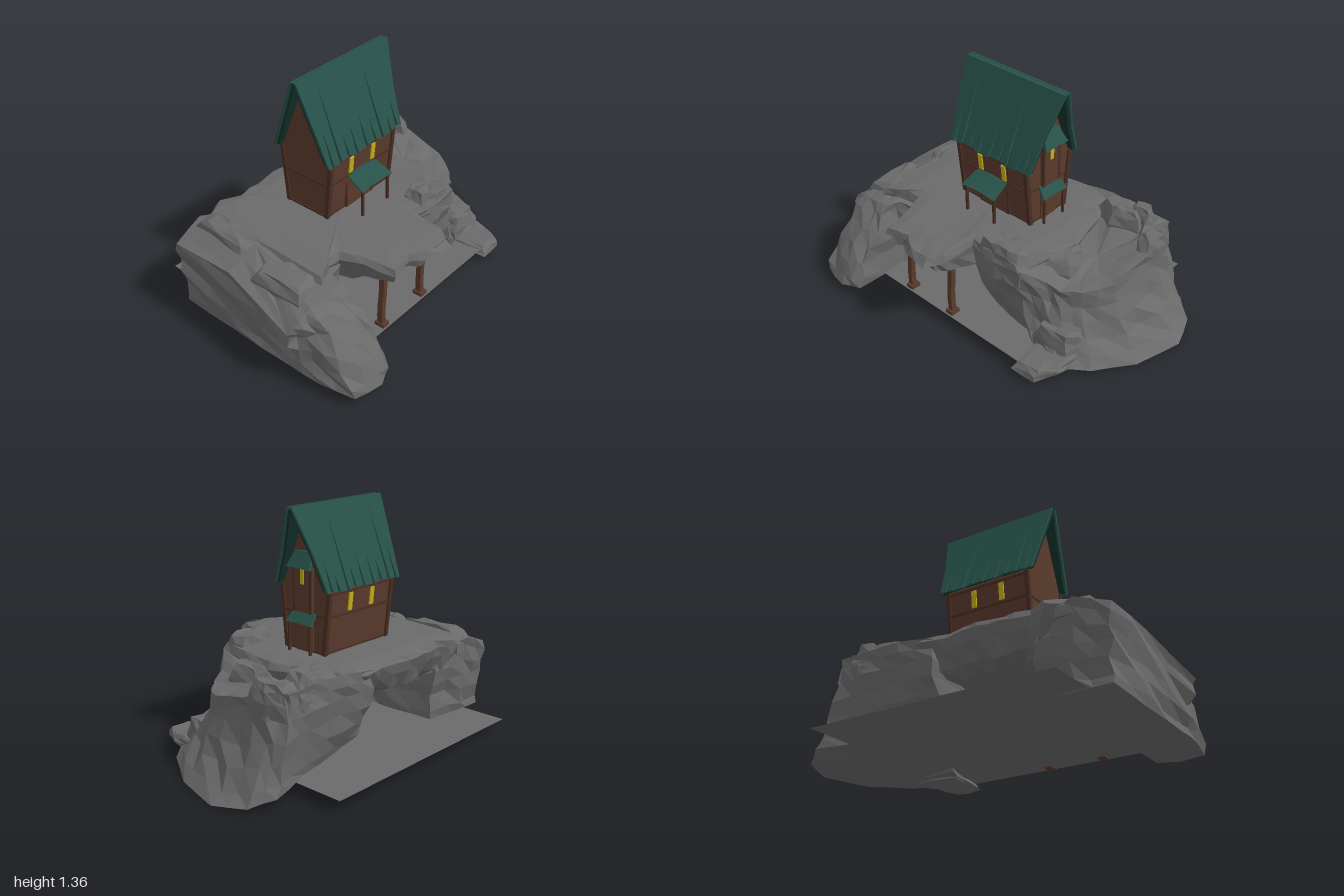
import * as THREE from 'three';

const mat = (color, extra = {}) => new THREE.MeshStandardMaterial({ color, flatShading: true, ...extra });
const rock = mat(0x6a6a6a), groundMat = mat(0x6a6a6a, { side: THREE.DoubleSide });
const wood = mat(0x5a3a2c), trim = mat(0x4a2e22), green = mat(0x275249), darkGreen = mat(0x16322c), glow = mat(0xc9b116);

let seed = 7;
const jitter = (a) => {
  seed = (seed * 16807) % 2147483647;
  return (seed / 2147483647 - 0.5) * 2 * a;
};

function add(parent, name, geometry, material, x = 0, y = 0, z = 0) {
  const mesh = new THREE.Mesh(geometry, material);
  mesh.name = name;
  mesh.position.set(x, y, z);
  parent.add(mesh);
  return mesh;
}
const box = (p, name, m, w, h, d, x, y, z) => add(p, name, new THREE.BoxGeometry(w, h, d), m, x, y, z);

// Skin closed rings (clockwise from above, bottom to top) and close both ends
function loft(rings, bottom, top) {
  const pos = [], n = rings[0].length;
  const tri = (...v) => v.forEach((p) => pos.push(...p));
  for (let i = 0; i < n; i++) {
    const k = (i + 1) % n, last = rings[rings.length - 1];
    for (let j = 0; j < rings.length - 1; j++) {
      const a = rings[j][i], b = rings[j][k], c = rings[j + 1][k], d = rings[j + 1][i];
      tri(a, d, c);
      tri(a, c, b);
    }
    tri(bottom, rings[0][i], rings[0][k]);
    tri(top, last[k], last[i]);
  }
  const g = new THREE.BufferGeometry();
  g.setAttribute('position', new THREE.Float32BufferAttribute(pos, 3));
  g.computeVertexNormals();
  return g;
}
const mix = (a, b, t) => a.map((v, i) => v + (b[i] - v) * t);
const subdivide = (cols) => cols.flatMap((c, i) => [c, mix(c, cols[(i + 1) % cols.length], 0.5)]);

// Cliff from columns of [foot x, z, y, rim x, z, y]; ease shapes the slope
function cliff(cols, centre, ease, rough) {
  const full = subdivide(cols), rings = [];
  for (const t of [0, 0.12, 0.32, 0.52, 0.72, 0.88, 1]) {
    const a = t === 0 || t === 1 ? 0.006 : rough;
    rings.push(full.map(([x, z, y, X, Z, Y]) => {
      const f = ease(t);
      return [x + (X - x) * f + jitter(a), y + (Y - y) * t + jitter(a * 0.6), z + (Z - z) * f + jitter(a)];
    }));
  }
  const rim = rings[rings.length - 1];
  for (const s of [0.22, 0.5]) rings.push(rim.map((p) => mix(p, centre, s).map((v) => v + jitter(0.008))));
  return loft(rings, [centre[0], 0.075, centre[2]], centre);
}

// Broken rock shelf over an outline of [x, z], tapering to the given top scale
function ledge(parent, outline, y0, y1, top = 0.8) {
  const pts = subdivide(outline), n = pts.length;
  const cx = pts.reduce((s, p) => s + p[0], 0) / n, cz = pts.reduce((s, p) => s + p[1], 0) / n;
  const rings = [[0, 1], [0.45, 1], [0.8, (1 + top) / 2], [1, top]].map(([t, s]) => pts.map(([x, z]) => [
    cx + (x - cx) * s + jitter(0.01), y0 + (y1 - y0) * t + jitter(0.01), cz + (z - cz) * s + jitter(0.01),
  ]));
  add(parent, 'rockLedge', loft(rings, [cx, y0, cz], [cx, y1, cz]), rock);
}

function buildRocks(root) {
  const g = new THREE.Group();
  g.name = 'rocks';
  root.add(g);
  const ground = add(g, 'ground', new THREE.PlaneGeometry(1.425, 1.275), groundMat, -0.078, 0.078, -0.122);
  ground.rotation.x = -Math.PI / 2;

  add(g, 'leftCliff', cliff([
    [-0.92, -0.48, 0.07, -0.95, -0.5, 0.47], [-0.72, -0.48, 0.07, -0.75, -0.52, 0.54],
    [-0.5, -0.45, 0.08, -0.55, -0.46, 0.48], [-0.48, -0.2, 0.08, -0.5, -0.2, 0.5],
    [-0.5, 0.05, 0.08, -0.49, 0.05, 0.5], [-0.49, 0.28, 0.07, -0.49, 0.28, 0.46],
    [-0.6, 0.36, 0.07, -0.62, 0.34, 0.5], [-0.6, 0.7, 0.07, -0.64, 0.42, 0.5],
    [-0.72, 0.75, 0.07, -0.72, 0.43, 0.5], [-0.88, 0.71, 0.07, -0.86, 0.41, 0.48],
    [-0.92, 0.5, 0.07, -0.93, 0.4, 0.44], [-0.93, 0.3, 0.07, -1, 0.37, 0.37],
    [-0.93, -0.1, 0.07, -0.94, -0.1, 0.48],
  ], [-0.75, 0.56, -0.08], (t) => t ** 1.35, 0.02), rock);

  add(g, 'rightCliff', cliff([
    [0.06, -0.37, 0.13, 0.08, -0.5, 0.54], [0.3, -0.4, 0.1, 0.3, -0.5, 0.57],
    [0.55, -0.44, 0.08, 0.52, -0.49, 0.58], [0.82, -0.52, 0.07, 0.7, -0.49, 0.57],
    [0.93, -0.43, 0.03, 0.75, -0.4, 0.57], [1.01, -0.25, 0.01, 0.75, -0.22, 0.5],
    [0.93, 0.05, 0.02, 0.73, 0.02, 0.44], [0.8, 0.28, 0.04, 0.63, 0.17, 0.42],
    [0.65, 0.4, 0.05, 0.54, 0.24, 0.42], [0.47, 0.36, 0.06, 0.46, 0.27, 0.46],
    [0.38, 0.32, 0.1, 0.36, 0.37, 0.53], [0.2, 0.29, 0.1, 0.2, 0.38, 0.55],
    [0.04, 0.27, 0.13, 0.03, 0.36, 0.53], [0.03, 0, 0.1, 0.05, 0, 0.5],
  ], [0.52, 0.45, -0.1], (t) => 1 - (1 - t) ** 2.1, 0.016), rock);

  // Plateau bridging the two cliffs, with a thin lip over the tunnel mouth
  const edge = subdivide([
    [-0.76, -0.47], [-0.62, -0.54], [-0.5, -0.48], [-0.35, -0.5], [-0.2, -0.52], [0, -0.48], [0.15, -0.51],
    [0.3, -0.46], [0.36, -0.3], [0.42, -0.05], [0.39, 0.2], [0.36, 0.38], [0.2, 0.39], [0.02, 0.37], [0, 0.58],
    [-0.05, 0.67], [-0.2, 0.65], [-0.3, 0.58], [-0.44, 0.61], [-0.48, 0.42], [-0.53, 0.3], [-0.61, 0.3], [-0.74, 0.37],
  ]);
  const levels = [[0.34, 0.72, 0.01], [0.37, 0.88, 0.02], [0.46, 0.95, 0.015], [0.525, 1, 0.006], [0.56, 0.96, 0.006], [0.572, 0.8, 0.002]];
  const rings = levels.map(([y, s, a]) => edge.map(([x, z]) => {
    const lip = Math.max(0, z - 0.35);
    const lift = y < 0.5 ? lip * 0.25 : -lip * 0.06;
    return [-0.15 + (x + 0.15) * s + jitter(a), y + lift + jitter(a), z * s + jitter(a)];
  }));
  add(g, 'plateau', loft(rings, [-0.15, 0.34, 0], [-0.15, 0.575, 0]), rock);

  // Back ridge, front knoll, stepped toe and left ridge
  ledge(g, [[0.32, -0.48], [0.6, -0.49], [0.62, -0.35], [0.44, -0.29], [0.3, -0.36]], 0.45, 0.62, 0.6);
  ledge(g, [[0.47, -0.48], [0.62, -0.49], [0.66, -0.38], [0.5, -0.36]], 0.45, 0.645, 0.5);
  ledge(g, [[0.58, -0.49], [0.72, -0.49], [0.77, -0.38], [0.75, -0.24], [0.68, -0.22], [0.6, -0.36]], 0.43, 0.6, 0.65);
  ledge(g, [[0.4, -0.08], [0.5, -0.04], [0.52, 0.14], [0.4, 0.24], [0.34, 0.08]], 0.4, 0.53, 0.65);
  ledge(g, [[0.06, 0.24], [0.22, 0.19], [0.37, 0.22], [0.37, 0.37], [0.2, 0.39], [0.05, 0.37]], 0.42, 0.615, 0.7);
  ledge(g, [[0.46, 0.26], [0.72, 0.24], [0.7, 0.42], [0.64, 0.54], [0.49, 0.55]], 0.045, 0.1);
  ledge(g, [[0.42, 0.18], [0.72, 0.18], [0.68, 0.34], [0.46, 0.36]], 0.06, 0.22, 0.7);
  ledge(g, [[-0.9, 0.04], [-0.78, 0], [-0.7, 0.16], [-0.7, 0.35], [-0.88, 0.36]], 0.42, 0.55, 0.65);
  ledge(g, [[-0.82, -0.5], [-0.66, -0.52], [-0.7, -0.2], [-0.72, 0], [-0.84, -0.1]], 0.45, 0.58, 0.6);

  // Crooked props under the lip
  for (const [x, h] of [[-0.385, 0.36], [-0.05, 0.42]]) {
    const post = new THREE.BoxGeometry(0.03, h, 0.032, 1, 5, 1), p = post.attributes.position;
    for (let i = 0; i < p.count; i++) p.setX(i, p.getX(i) + 0.007 * Math.sin(p.getY(i) * 16));
    post.computeVertexNormals();
    add(g, 'tunnelPost', post, wood, x, 0.08 + h / 2, 0.475);
    box(g, 'tunnelPostFoot', wood, 0.05, 0.03, 0.06, x, 0.085, 0.475);
  }
}

// Sloping canopy: a trapezoid panel sheared outwards toward its lower edge, slightly arched
function hood(parent, name, w, topW, h, depth, arch) {
  const s = new THREE.Shape([[-w / 2, 0], [-w / 4, 0], [0, 0], [w / 4, 0], [w / 2, 0], [topW / 2, h], [0, h], [-topW / 2, h]]
    .map(([x, y]) => new THREE.Vector2(x, y)));
  const g = new THREE.ExtrudeGeometry(s, { depth: 0.016, bevelEnabled: false }), p = g.attributes.position;
  for (let i = 0; i < p.count; i++) {
    const x = p.getX(i), y = p.getY(i);
    p.setZ(i, p.getZ(i) + (1 - y / h) * depth);
    p.setY(i, y + arch * (1 - (2 * x / w) ** 2));
  }
  g.computeVertexNormals();
  return add(parent, name, g, green);
}

function buildHouse(root) {
  const h = new THREE.Group();
  h.name = 'house';
  h.position.z = -0.08;
  root.add(h);

  // Flared walls with gables, extruded along x
  const profile = new THREE.Shape([[-0.138, 0.56], [0.138, 0.56], [0.174, 0.925], [0, 1.36], [-0.174, 0.925]].map(([x, y]) => new THREE.Vector2(x, y)));
  const walls = add(h, 'walls', new THREE.ExtrudeGeometry(profile, { depth: 0.515, bevelEnabled: false }), wood, -0.355);
  walls.rotation.y = Math.PI / 2;

  // Frame beams and windows on both long sides
  const wallZ = (y) => 0.138 + ((y - 0.56) / 0.365) * 0.036;
  for (const s of [1, -1]) {
    for (const x of [-0.35, 0.158]) {
      const post = box(h, 'cornerPost', trim, 0.024, 0.36, 0.024, x, 0.745, s * 0.155);
      post.rotation.x = s * 0.1;
    }
    for (const y of [0.582, 0.785, 0.912]) box(h, 'wallBeam', trim, 0.52, 0.012, 0.01, -0.097, y, s * wallZ(y));
    for (const x of [-0.187, -0.01]) {
      box(h, 'window', glow, 0.03, 0.1, 0.016, x, 0.85, s * wallZ(0.85)).rotation.x = s * 0.1;
    }
  }
  for (const x of [-0.353, 0.158]) {
    for (const y of [0.582, 0.785]) box(h, 'gableBeam', trim, 0.014, 0.012, wallZ(y) * 2, x, y, 0);
  }

  // Roof: split shingle sheet over a dark backing on each slope
  const slits = [[-0.36, 1.13], [-0.3, 1.34], [-0.235, 1.05], [-0.17, 1.08], [-0.09, 1.1], [-0.02, 1.06], [0.04, 1.33], [0.11, 1.02], [0.165, 1.1]];
  const sheet = new THREE.Shape();
  sheet.moveTo(-0.43, 1.375);
  sheet.lineTo(-0.393, 0.925);
  slits.forEach(([x, y], i) => {
    const e = 0.922 + (i % 3) * 0.006;
    sheet.lineTo(x - 0.008, e);
    sheet.lineTo(x + 0.002, y);
    sheet.lineTo(x + 0.008, e + 0.004);
  });
  sheet.lineTo(0.2, 0.93);
  sheet.lineTo(0.228, 1.13);
  sheet.lineTo(0.288, 1.375);
  const backing = new THREE.Shape([[-0.425, 1.37], [-0.388, 0.935], [0.195, 0.935], [0.222, 1.13], [0.28, 1.37]].map(([x, y]) => new THREE.Vector2(x, y)));
  const slope = (shape, depth, from) => {
    const g = new THREE.ExtrudeGeometry(shape, { depth, bevelEnabled: false }), p = g.attributes.position;
    for (let i = 0; i < p.count; i++) p.setZ(i, p.getZ(i) + from + (1.375 - p.getY(i)) * 0.4);
    g.computeVertexNormals();
    return g;
  };
  const top = slope(sheet, 0.016, 0.006), under = slope(backing, 0.02, -0.014);
  for (const s of [1, -1]) {
    add(h, 'roofShingles', top, green).scale.z = s;
    add(h, 'roofBacking', under, darkGreen).scale.z = s;
  }
  box(h, 'roofRidge', green, 0.7, 0.012, 0.018, -0.07, 1.367, 0);

  // Front porch with a framed door
  const porch = hood(h, 'porchRoof', 0.25, 0.225, 0.048, 0.108, 0.012);
  porch.position.set(-0.103, 0.737, 0.163);
  for (const x of [-0.205, 0.005]) {
    box(h, 'porchPost', trim, 0.014, 0.18, 0.014, x, 0.655, 0.265);
    box(h, 'doorPost', trim, 0.014, 0.17, 0.02, x, 0.66, 0.145);
  }
  box(h, 'frontDoor', wood, 0.2, 0.16, 0.014, -0.1, 0.65, 0.145);

  // Gable entrance, upper bay and their hoods
  box(h, 'sideDoor', wood, 0.02, 0.16, 0.12, 0.16, 0.65, 0);
  for (const z of [-0.078, 0.078]) box(h, 'sidePost', trim, 0.013, 0.18, 0.013, 0.208, 0.655, z);
  const side = hood(h, 'sideDoorHood', 0.19, 0.16, 0.055, 0.048, 0.004);
  side.position.set(0.16, 0.737, 0);
  box(h, 'bay', wood, 0.04, 0.25, 0.12, 0.168, 0.92, 0);
  for (const z of [-0.06, 0.06]) box(h, 'bayPost', trim, 0.014, 0.25, 0.014, 0.184, 0.92, z);
  box(h, 'bayWindow', glow, 0.012, 0.08, 0.026, 0.186, 0.99, 0);
  const upper = hood(h, 'bayHood', 0.175, 0.12, 0.085, 0.05, 0.004);
  upper.position.set(0.16, 1.04, 0);
  for (const m of [side, upper]) m.rotation.y = Math.PI / 2;
}

export function createModel() {
  const root = new THREE.Group();
  root.name = 'cliffHouse';
  buildRocks(root);
  buildHouse(root);
  return root;
}
